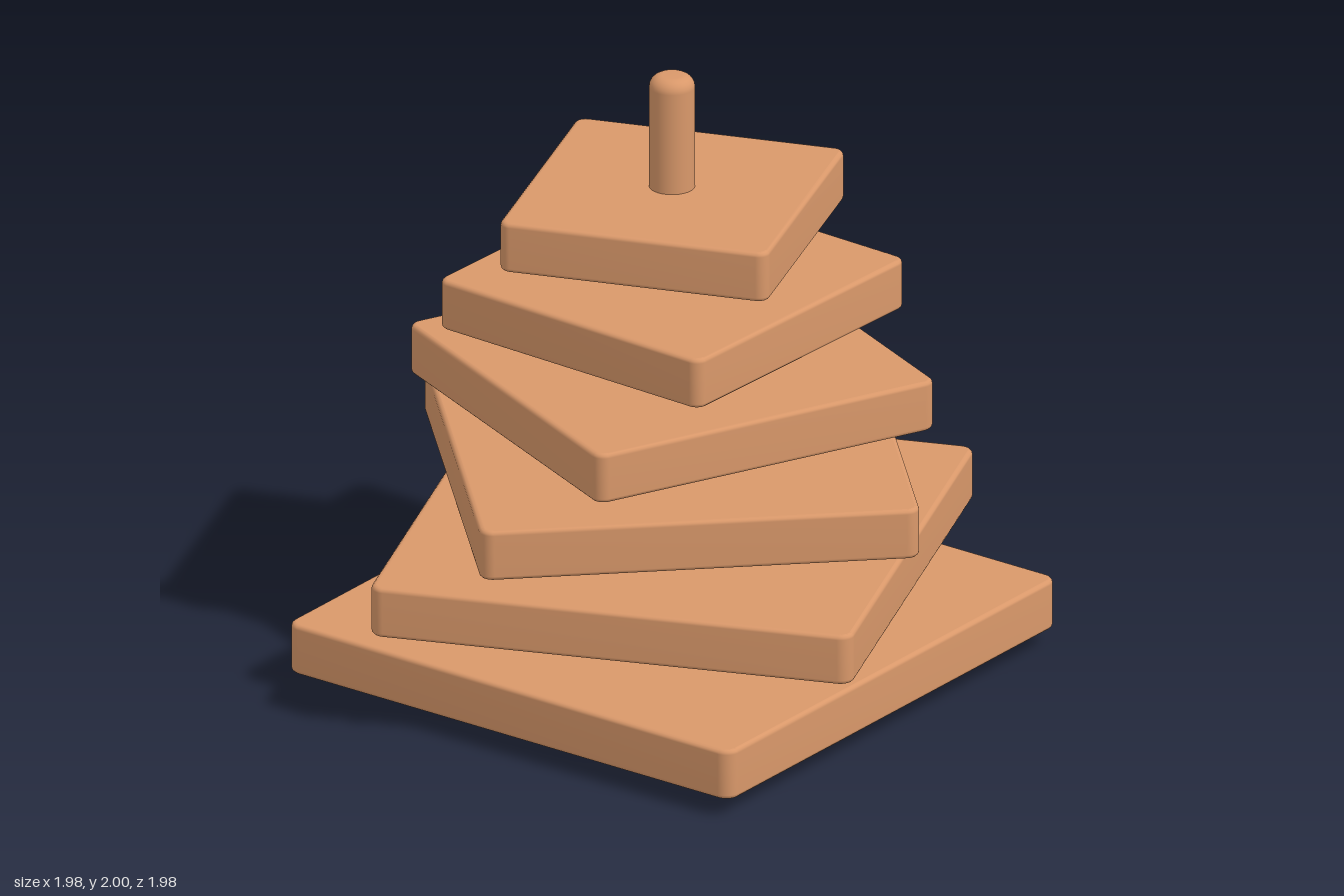
import * as THREE from 'three';
import { mergeVertices } from 'three/addons/utils/BufferGeometryUtils.js';

const wood = new THREE.MeshStandardMaterial({ color: 0xd9986a });

// Square slab with rounded corners and softened rims, its underside on y = 0
function slabGeometry(half, height, radius, bevel) {
  const shape = new THREE.Shape();
  const c = half - radius;
  for (let i = 0; i < 4; i++) {
    const a = i * Math.PI / 2;
    const sx = i === 0 || i === 3 ? 1 : -1;
    const sy = i < 2 ? 1 : -1;
    shape.absarc(sx * c, sy * c, radius, a, a + Math.PI / 2, false);
  }
  shape.closePath();
  const geometry = new THREE.ExtrudeGeometry(shape, {
    depth: height - 2 * bevel,
    bevelThickness: bevel,
    bevelSize: bevel,
    bevelOffset: -bevel,
    bevelSegments: 3,
    curveSegments: 6,
  });
  geometry.translate(0, 0, bevel);
  geometry.rotateX(-Math.PI / 2);
  // share vertices so the rims shade smoothly
  geometry.deleteAttribute('normal');
  geometry.deleteAttribute('uv');
  const smooth = mergeVertices(geometry, 1e-4);
  smooth.computeVertexNormals();
  return smooth;
}

// Round pole with softened ends
function poleGeometry(radius, height, round) {
  const points = [new THREE.Vector2(0, 0)];
  for (const [cy, start] of [[round, -Math.PI / 2], [height - round, 0]]) {
    for (let i = 0; i <= 5; i++) {
      const a = start + i / 5 * Math.PI / 2;
      points.push(new THREE.Vector2(radius - round + round * Math.cos(a), cy + round * Math.sin(a)));
    }
  }
  points.push(new THREE.Vector2(0, height));
  return new THREE.LatheGeometry(points, 32);
}

export function createModel() {
  const model = new THREE.Group();
  model.name = 'twistedSlabTower';

  const pole = new THREE.Mesh(poleGeometry(0.072, 2, 0.04), wood);
  pole.name = 'pole';
  model.add(pole);

  // Slabs shrink and turn by a fixed step on the way up
  for (let i = 0; i < 6; i++) {
    const slab = new THREE.Mesh(slabGeometry(0.857 - 0.0845 * i, 0.165, 0.047 - 0.002 * i, 0.014), wood);
    slab.name = `slab${i + 1}`;
    slab.position.y = 0.06 + 0.28 * i;
    slab.rotation.y = THREE.MathUtils.degToRad(22 * i);
    model.add(slab);
  }
  return model;
}
